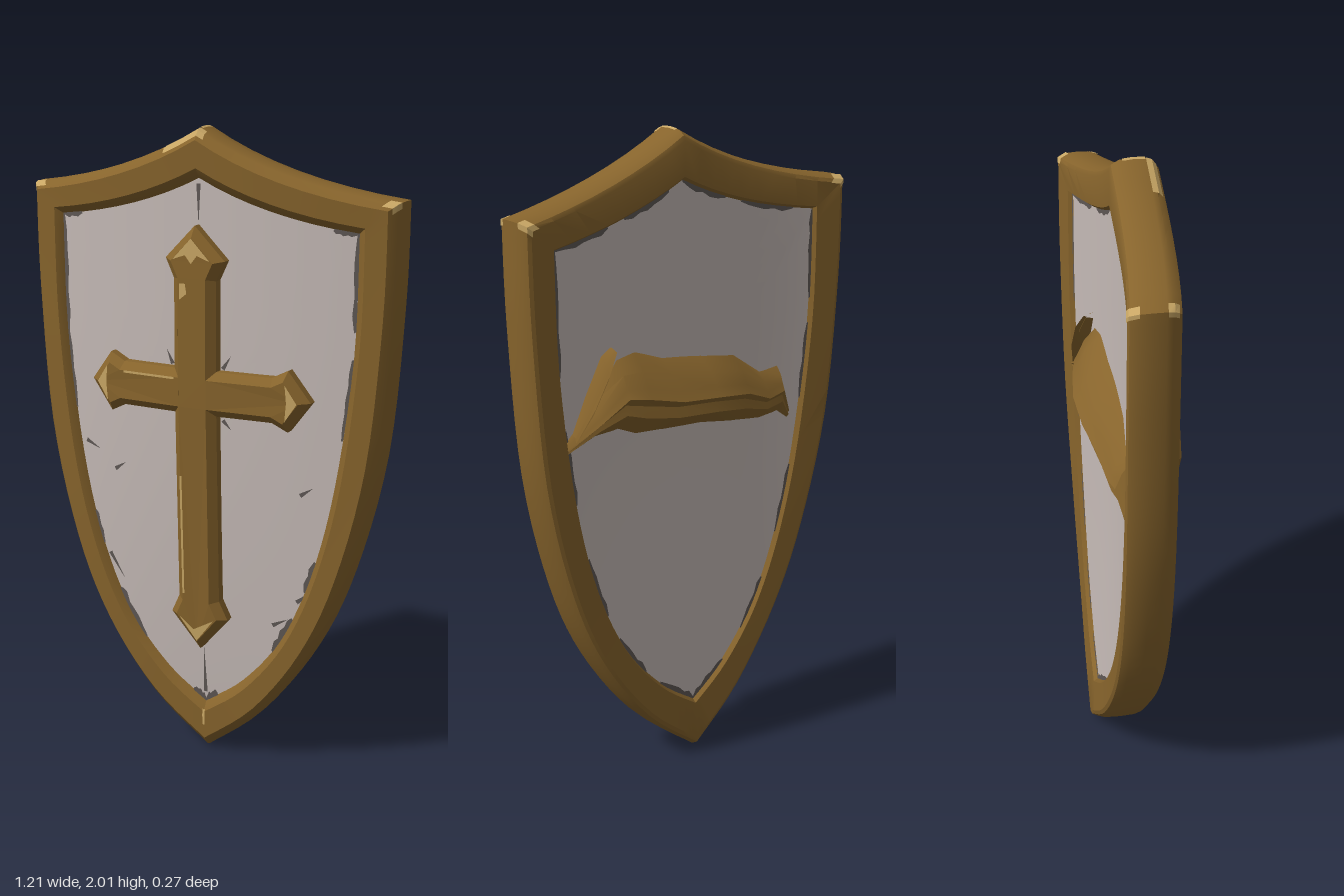
import * as THREE from 'three';
import { toCreasedNormals } from 'three/addons/utils/BufferGeometryUtils.js';

const mat = (name, color) => Object.assign(new THREE.MeshStandardMaterial({ color }), { name });
const V2 = (p) => new THREE.Vector2(p[0], p[1]);

// Forward curvature shared by every part of the shield
function bow(x, y) {
  const f = y < 1.4 ? 1 - (1 - y / 1.4) ** 2 : 1;
  return 0.06 * (1 - (x / 0.6) ** 2) * f;
}

// Point on the shield: bowed forward, with the back growing thicker towards the bottom
function onShield(x, y, z) {
  const thick = z < 0 ? 1 + 0.15 * (1 - y / 2) : 1;
  return new THREE.Vector3(x, y, z * thick + bow(x, y));
}

// Closed outline, clockwise from the peak: curved top edge, then a tapering side, mirrored
function outline(peak, ctrl, side) {
  const top = new THREE.QuadraticBezierCurve(V2(peak), V2(ctrl), V2(side[0])).getPoints(8);
  const edge = new THREE.SplineCurve(side.map(V2)).getPoints(30);
  const half = [...top, ...edge.slice(1)];
  const mirror = half.slice(1, -1).reverse().map((p) => new THREE.Vector2(-p.x, p.y));
  return [...half, ...mirror];
}

// Skin between rows of points
function loft(rows, flip = false, crease = 0.5) {
  const n = rows[0].length, index = [];
  for (let i = 0; i < rows.length - 1; i++) {
    for (let j = 0; j < n - 1; j++) {
      const a = i * n + j, b = a + n, c = a + 1, d = b + 1;
      index.push(...(flip ? [a, c, b, b, c, d] : [a, b, c, b, d, c]));
    }
  }
  const g = new THREE.BufferGeometry().setFromPoints(rows.flat());
  g.setIndex(index);
  return toCreasedNormals(g, crease);
}

// Push a flat geometry onto the curved surface
function bend(g) {
  const p = g.attributes.position;
  for (let i = 0; i < p.count; i++) p.setZ(i, p.getZ(i) + bow(p.getX(i), p.getY(i)));
  g.computeVertexNormals();
  return g;
}

export function createModel() {
  const model = new THREE.Group();
  model.name = 'shield';
  const gold = mat('aged gold', 0x87642c);
  const grey = mat('warm grey', 0xc6bbb7);
  const wear = mat('worn gold edge', 0xc9a765);
  const dark = mat('dark scratch', 0x5f5855);
  const group = (name) => {
    const g = new THREE.Group();
    g.name = name;
    model.add(g);
    return g;
  };
  const add = (name, geometry, material, parent = model) => {
    const m = new THREE.Mesh(geometry, material);
    m.name = name;
    parent.add(m);
  };

  const outer = outline([0, 2], [0.24, 1.86],
    [[0.605, 1.81], [0.6, 1.5], [0.565, 1.05], [0.475, 0.67], [0.36, 0.4], [0.19, 0.16], [0, 0]]);
  const inner = outline([0, 1.85], [0.2, 1.75],
    [[0.487, 1.715], [0.48, 1.35], [0.43, 0.95], [0.36, 0.66], [0.26, 0.43], [0.13, 0.27], [0, 0.175]]);
  const count = outer.length, corners = [8, count - 8], bottom = count / 2;
  const steps = [...Array(count + 1).keys()];

  // Point of an outline at a fractional position
  const along = (line, t) => {
    const i = Math.floor(t), at = (k) => line[(k + count) % count];
    return at(i).clone().lerp(at(i + 1), t - i);
  };
  const rimStrip = (ts, section) => loft(ts.map((t) => section.map(([u, z]) => {
    const p = along(inner, t).lerp(along(outer, t), u);
    return onShield(p.x, p.y, z);
  })));

  // Rim: bevelled section swept between the inner and outer outlines
  add('rim', rimStrip(steps, [[0, 0.01], [0.06, 0.022], [0.24, 0.042], [0.78, 0.045], [0.96, 0.022],
    [1, 0.005], [1.01, -0.03], [0.99, -0.07], [0.9, -0.092], [0.8, -0.098], [0.1, -0.096], [0, -0.078]]), gold);

  // Front and back panels, built as rings growing from the middle and tucked into the rim
  const panelPoint = (t, s, z) => {
    const p = along(inner, t);
    return onShield(p.x * s, 1.1 + (p.y - 1.1) * s, z);
  };
  const rings = [0.001, 0.2, 0.4, 0.6, 0.8, 0.93, 1, 1.03];
  const panel = (z) => steps.map((t) => rings.map((s) => panelPoint(t, s, z)));
  add('frontPanel', loft(panel(0.018)), grey);
  add('backPanel', loft(panel(-0.082), true), grey);

  // Grime: uneven dark slivers where the panels meet the rim
  const grime = group('grime');
  const sliver = (from, to, width, z, flip) => {
    const ts = Array.from({ length: 7 }, (_, i) => from + (to - from) * i / 6);
    const rows = ts.map((t, i) => {
      const w = i % 6 ? width * (0.7 + 0.3 * Math.sin(i * 2.4 + from)) : 0.001;
      return [panelPoint(t, 1 - w, z), panelPoint(t, 1.012, z)];
    });
    add('sliver', loft(rows, flip), dark, grime);
  };
  for (const [a, b, w] of [[7, 8, 0.015], [8, 12, 0.018], [13, 16, 0.012], [22, 24, 0.02], [26, 29, 0.025],
    [36, 38, 0.02], [38, 40, 0.02], [46, 50, 0.025], [53, 55, 0.014], [60, 63, 0.014], [63, 68, 0.022], [68, 69, 0.015]]) {
    sliver(a, b, w, 0.021, false);
  }
  for (const [a, b] of [[1, 4], [5, 8], [8, 13], [15, 18], [21, 25], [27, 31], [33, 38], [38, 43], [46, 50],
    [53, 57], [60, 63], [64, 68], [69, 72], [73, 76]]) {
    sliver(a, b, 0.018, -0.085, true);
  }

  // Cross with pointed, flared ends
  const right = [[0, 1.72], [0.098, 1.62], [0.07, 1.56], [0.07, 1.285], [0.25, 1.285], [0.3, 1.31],
    [0.37, 1.217], [0.3, 1.122], [0.25, 1.147], [0.07, 1.147], [0.07, 0.54], [0.098, 0.48], [0, 0.365]];
  const left = right.slice(1, -1).reverse().map(([x, y]) => [-x, y]);
  const cross = new THREE.ExtrudeGeometry(new THREE.Shape([...right, ...left].map(V2)), {
    depth: 0.035, bevelEnabled: true, bevelSegments: 1, bevelSize: 0.024, bevelOffset: -0.024, bevelThickness: 0.024,
  });
  cross.translate(0, 0, 0.012);
  add('cross', bend(cross), gold);

  // Worn edges of the rim: peak, corners and lower point, front and back
  const worn = group('wornEdges');
  const bevelEdge = [[0.86, 0.038], [0.965, 0.0255], [1.005, 0.008]];
  const backEdge = [[1.015, -0.066], [0.91, -0.095], [0.78, -0.1015]];
  add('peakWear', rimStrip([-1.8, -1, 0, 0.35], bevelEdge), wear, worn);
  add('peakRidgeWear', rimStrip([-0.12, 0, 0.12], [[1.02, 0.006], [1.03, -0.03], [1.01, -0.06]]), wear, worn);
  add('lowerPointWear', rimStrip([bottom - 0.2, bottom, bottom + 0.2], [[0.2, 0.041], [0.3, 0.0455], [0.5, 0.047]]), wear, worn);
  for (const c of corners) {
    add('cornerWear', rimStrip([c - 0.35, c, c + 0.45], bevelEdge), wear, worn);
    add('backCornerWear', rimStrip([c - 0.3, c, c + 0.4], backEdge), wear, worn);
  }

  // Thin plates: worn tips of the cross and scratches on the panel
  const plate = (name, pts, z, material, parent) => {
    const g = new THREE.ShapeGeometry(new THREE.Shape(pts.map(V2)));
    g.translate(0, 0, z);
    add(name, bend(g), material, parent);
  };
  const face = 0.0735;
  for (const s of [-1, 1]) {
    plate('armTipWear', [[s * 0.337, 1.217], [s * 0.3, 1.272], [s * 0.305, 1.217], [s * 0.3, 1.16]], face, wear, worn);
  }
  plate('topTipWear', [[0, 1.685], [-0.062, 1.62], [-0.02, 1.635], [0, 1.61], [0.02, 1.635], [0.062, 1.62]], face, wear, worn);
  plate('bottomTipWear', [[0, 0.402], [-0.06, 0.48], [-0.01, 0.44], [0.06, 0.48]], face, wear, worn);
  plate('shaftWear', [[-0.04, 1.55], [-0.02, 1.55], [-0.015, 1.52], [-0.04, 1.5]], face, wear, worn);
  plate('shaftEdgeWear', [[-0.045, 0.95], [-0.038, 0.95], [-0.038, 0.56], [-0.045, 0.56]], face, wear, worn);
  plate('armEdgeWear', [[-0.24, 1.262], [-0.06, 1.262], [-0.06, 1.255], [-0.24, 1.255]], face, wear, worn);

  const scratches = group('scratches');
  for (const [x, y, len, angle] of [[-0.34, 0.63, 0.1, -1], [0.32, 0.57, 0.08, 0.7], [-0.31, 0.92, 0.05, 0.6],
    [0.33, 0.92, 0.05, 0.6], [0.24, 0.48, 0.06, 0.5], [-0.42, 1.0, 0.06, -0.4], [0, 0.2, 0.16, 1.571],
    [0, 1.84, 0.12, -1.571], [-0.09, 1.29, 0.05, 2], [0.08, 1.29, 0.05, 1], [0.08, 1.13, 0.04, -0.8]]) {
    const c = Math.cos(angle), s = Math.sin(angle), w = 0.007;
    plate('scratch', [[x - s * w, y + c * w], [x + s * w, y - c * w], [x + c * len, y + s * len]], 0.022, dark, scratches);
  }

  // Crumpled grip across the back: folded sections given as [x, top, bottom, depth]
  const folds = [[0, 0], [0.2, 0.55], [0.38, 0.8], [0.5, 1], [0.6, 0.72], [0.74, 0.8], [0.86, 0.45], [1, 0]];
  const strap = (name, rows) => add(name, loft(rows.map(([x, top, bottom, depth]) => folds.map(([t, k]) => {
    const y = THREE.MathUtils.lerp(top, bottom, t);
    const base = onShield(x, y, -0.078).z;
    return new THREE.Vector3(x, y, THREE.MathUtils.lerp(base, Math.min(base, depth), k));
  })), false, 0.7), gold);
  strap('grip', [[-0.41, 1.1, 1.04, -0.07], [-0.37, 1.23, 1.07, -0.09], [-0.3, 1.22, 1.06, -0.1],
    [-0.2, 1.29, 1.07, -0.115], [-0.07, 1.31, 1.09, -0.135], [0.08, 1.33, 1.1, -0.138],
    [0.19, 1.37, 1.11, -0.122], [0.26, 1.36, 1.14, -0.105], [0.35, 1.24, 1.14, -0.09], [0.47, 1.15, 1.11, -0.085]]);
  strap('gripFork', [[0.28, 1.4, 1.38, -0.07], [0.32, 1.38, 1.29, -0.09], [0.38, 1.28, 1.2, -0.095], [0.45, 1.15, 1.12, -0.08]]);

  return model;
}
